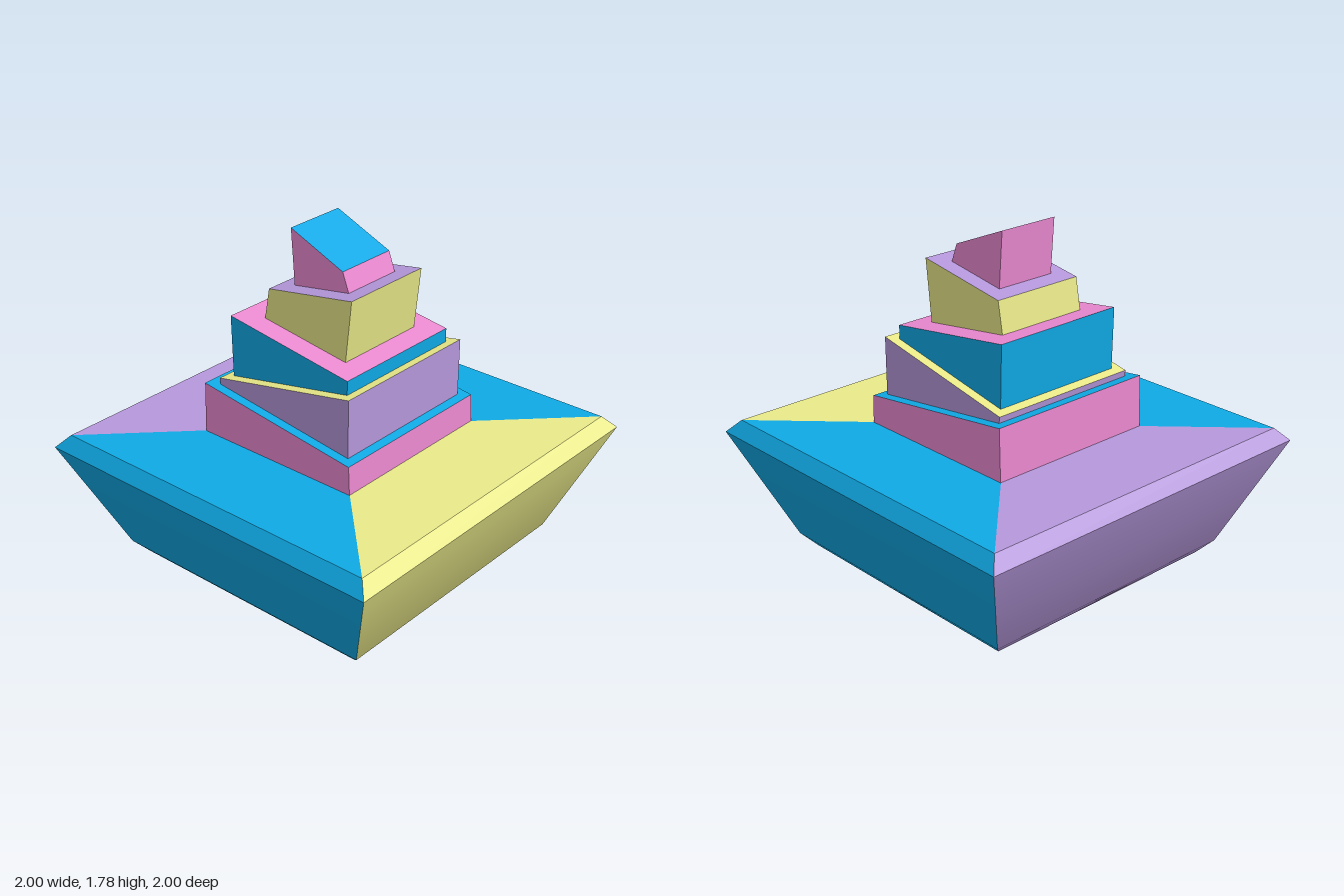
import * as THREE from 'three';

const BLUE = 0x10aae6, PINK = 0xec8ad2, PURPLE = 0xb698dc, YELLOW = 0xeaea8a;
const mat = (color) => new THREE.MeshStandardMaterial({ color });
const M = { blue: mat(BLUE), pink: mat(PINK), purple: mat(PURPLE), yellow: mat(YELLOW) };

// Hull section: [half-width, height] from the keel to the deck under the tower
const SECTION = [[0.69, 0], [0.755, 0.07], [1, 0.64], [0.94, 0.705], [0.46, 0.705]];

// Outward normal [z, y] of a section segment, pitched up or down
const segNormal = (i) => {
  const [h0, y0] = SECTION[i], [h1, y1] = SECTION[i + 1];
  return new THREE.Vector2(y1 - y0, h0 - h1).normalize();
};

// One quarter of the hull, facing +z: soft lower bilge, crisp rim and deck
function hullSideGeometry() {
  const pos = [], nor = [], index = [];
  const bilge = segNormal(0).add(segNormal(1)).normalize();
  const normals = [
    [new THREE.Vector2(0, -1), bilge],
    [bilge, segNormal(1)],
    [segNormal(2), segNormal(2)],
    [segNormal(3), segNormal(3)],
  ];
  normals.forEach((pair, i) => {
    const b = i * 4;
    pair.forEach((n, j) => {
      const [h, y] = SECTION[i + j];
      pos.push(-h, y, h, h, y, h);
      nor.push(0, n.y, n.x, 0, n.y, n.x);
    });
    index.push(b, b + 1, b + 3, b, b + 3, b + 2);
  });
  const g = new THREE.BufferGeometry();
  g.setAttribute('position', new THREE.Float32BufferAttribute(pos, 3));
  g.setAttribute('normal', new THREE.Float32BufferAttribute(nor, 3));
  g.setIndex(index);
  return g;
}

function hull() {
  const group = new THREE.Group();
  group.name = 'hull';
  const sides = [
    ['hullFront', M.yellow], ['hullLeft', M.blue], ['hullBack', M.purple], ['hullRight', M.blue],
  ];
  sides.forEach(([name, material], k) => {
    const side = new THREE.Mesh(hullSideGeometry().rotateY(k * Math.PI / 2), material);
    side.name = name;
    group.add(side);
  });
  const w = SECTION[0][0] * 2;
  const bottom = new THREE.Mesh(new THREE.PlaneGeometry(w, w).rotateX(Math.PI / 2), M.purple);
  bottom.name = 'hullBottom';
  group.add(bottom);
  return group;
}

// Skewed box; corners are [z, y] for front bottom, front top, back top, back bottom
function block(name, halfWidth, corners, side, top) {
  const g = new THREE.BoxGeometry(halfWidth * 2, 1, 1);
  const p = g.attributes.position;
  for (let i = 0; i < p.count; i++) {
    const up = p.getY(i) > 0, front = p.getZ(i) > 0;
    const [z, y] = corners[front ? (up ? 1 : 0) : (up ? 2 : 3)];
    p.setXYZ(i, p.getX(i), y, z);
  }
  g.computeVertexNormals();
  const mesh = new THREE.Mesh(g, [side, side, top, side, side, side]);
  mesh.name = name;
  return mesh;
}

export function createModel() {
  const model = new THREE.Group();
  model.name = 'steppedTowerBoat';
  model.add(hull());

  // Leaning stack of tiers, each sunk slightly into the one below
  const tower = new THREE.Group();
  tower.name = 'tower';
  tower.add(
    block('firstTier', 0.47, [[0.468, 0.7], [0.462, 0.853], [-0.46, 0.975], [-0.468, 0.7]], M.pink, M.blue),
    block('secondTier', 0.42, [[0.415, 0.85], [0.418, 1.163], [-0.408, 1.0], [-0.402, 0.95]], M.purple, M.yellow),
    block('thirdTier', 0.37, [[0.367, 1.145], [0.368, 1.225], [-0.367, 1.33], [-0.36, 1.0]], M.blue, M.pink),
    block('fourthTier', 0.255, [[0.257, 1.23], [0.294, 1.56], [-0.22, 1.475], [-0.252, 1.3]], M.yellow, M.purple),
    block('topTier', 0.168, [[0.206, 1.535], [0.166, 1.642], [-0.153, 1.776], [-0.133, 1.48]], M.pink, M.blue),
  );
  model.add(tower);
  return model;
}
